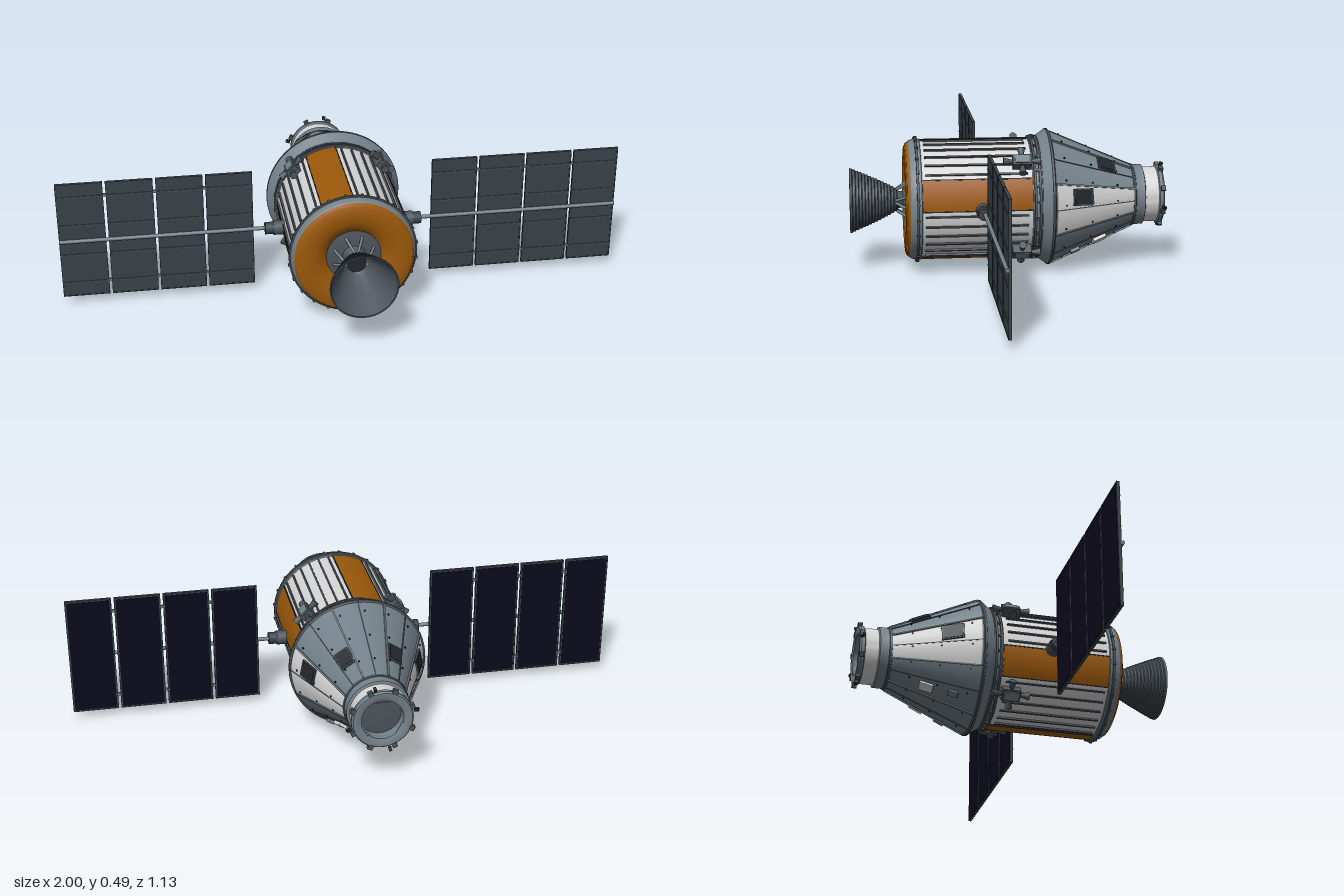
import * as THREE from 'three';
import { toCreasedNormals, mergeGeometries } from 'three/addons/utils/BufferGeometryUtils.js';

const material = (name, color, side = THREE.FrontSide) => {
  const m = new THREE.MeshStandardMaterial({ color, side });
  m.name = name;
  return m;
};
const D = Math.PI / 180;

export function createModel() {
  const grey = material('blue grey hull', 0x74818a);
  const steel = material('dark steel', 0x4c555c);
  const white = material('white radiator', 0xd6d6d6);
  const orange = material('orange insulation', 0x9c590a);
  const dark = material('dark trim', 0x23282d);
  const navy = material('solar cells', 0x0b0a1c);
  const slate = material('panel backing', 0x394148);

  const root = new THREE.Group();
  root.name = 'spacecraft';
  const core = new THREE.Group();
  core.name = 'hull';
  core.position.y = 0.248;
  root.add(core);

  const add = (parent, name, geo, mat, x = 0, y = 0, z = 0) => {
    const m = new THREE.Mesh(geo, mat);
    m.name = name;
    m.position.set(x, y, z);
    parent.add(m);
    return m;
  };
  const box = (x, y, z) => new THREE.BoxGeometry(x, y, z);

  // Turned part along z from [radius, z] points; ascending z faces outward
  const turned = (name, mat, pts, from = 0, to = 360, segs = 64) => {
    const geo = new THREE.LatheGeometry(pts.map(p => new THREE.Vector2(p[0], p[1])),
      segs, (from + 90) * D, (to - from) * D);
    geo.rotateX(Math.PI / 2);
    return add(core, name, toCreasedNormals(geo, 0.5), mat);
  };
  // Part set on the hull: local x is outward, y around, z along the hull
  const radial = (name, geo, mat, deg, r, z, tilt = 0) => {
    const pivot = new THREE.Group();
    pivot.name = name + 'Mount';
    pivot.rotation.z = deg * D;
    core.add(pivot);
    const m = add(pivot, name, geo, mat, r, 0, z);
    m.rotation.y = tilt;
    return m;
  };
  const strut = (parent, name, a, b, r, mat) => {
    const p = new THREE.Vector3(...a), q = new THREE.Vector3(...b);
    const m = add(parent, name, new THREE.CylinderGeometry(r, r, p.distanceTo(q), 8), mat);
    m.position.copy(p).add(q).multiplyScalar(0.5);
    m.quaternion.setFromUnitVectors(new THREE.Vector3(0, 1, 0), q.sub(p).normalize());
  };

  // Service module barrel, its rings and end
  turned('barrel', white, [[0.213, -0.09], [0.213, 0.32]]);
  turned('frontCollar', grey, [[0.21, 0.312], [0.218, 0.315], [0.218, 0.335], [0.211, 0.352], [0.203, 0.358]]);
  turned('frontDome', orange, [[0.208, 0.355], [0.202, 0.364], [0.19, 0.369], [0.165, 0.371],
    [0.135, 0.367], [0.11, 0.357], [0.095, 0.342]]);
  turned('domeCentre', steel, [[0.097, 0.342], [0.06, 0.35], [0, 0.352]]);
  for (const z of [0.328, -0.083, -0.1])
    turned('hoop', steel, [[0.21, z - 0.005], [0.2235, z - 0.004], [0.2235, z + 0.004], [0.21, z + 0.005]]);
  turned('rearCollar', grey, [[0.217, -0.115], [0.217, -0.075], [0.212, -0.074]]);

  // Four insulation panels with ribbed radiators between them
  const rib = box(0.008, 0.006, 0.36);
  for (let q = 0; q < 4; q++) {
    turned('insulationPanel', orange, [[0.212, -0.0745], [0.2165, -0.074], [0.2165, 0.312], [0.212, 0.3125]],
      q * 90, q * 90 + 30, 10);
    for (let i = 0; i < 6; i++) radial('radiatorRib', rib, steel, q * 90 + 35 + i * 10, 0.2155, 0.122);
    for (const e of [0, 30]) radial('panelEdge', box(0.006, 0.004, 0.385), dark, q * 90 + e, 0.2145, 0.119);
  }
  for (let i = 0; i < 24; i++) for (const z of [0.328, -0.09])
    radial('hoopBolt', box(0.008, 0.008, 0.012), steel, i * 15 + 7, 0.223, z);

  // Flared cone with ridges, rivets and white side panels
  const R0 = 0.242, R1 = 0.109, Z0 = -0.147, Z1 = -0.455;
  const coneR = z => R0 + (R1 - R0) * (z - Z0) / (Z1 - Z0);
  const tilt = Math.atan2(R0 - R1, Z0 - Z1);
  turned('cone', grey, [[0.1, -0.495], [0.109, -0.492], [R1, Z1], [R0, Z0], [0.244, -0.14], [0.222, -0.108], [0.205, -0.106]]);
  turned('coneRim', steel, [[0.238, -0.153], [0.2465, -0.149], [0.2465, -0.141], [0.24, -0.138]]);
  turned('coneTopBand', steel, [[0.108, -0.46], [0.112, -0.458], [0.114, -0.45], [0.11, -0.448]]);
  for (const a of [0, 180])
    turned('conePanel', white, [[coneR(-0.45) + 0.0015, -0.45], [coneR(-0.158) + 0.0015, -0.158]], a - 22.5, a + 22.5, 12);
  const zm = (Z0 + Z1) / 2;
  for (let i = 0; i < 16; i++) {
    const a = 22.5 * i, main = i % 2 === 1;
    radial('coneRidge', box(main ? 0.009 : 0.004, main ? 0.006 : 0.003, 0.325), main ? grey : steel, a, coneR(zm) + 0.001, zm, tilt);
    for (const z of [-0.19, -0.29, -0.385])
      radial('rivet', box(0.005, 0.005, 0.005), dark, a + 4, coneR(z) + 0.002, z, tilt);
  }

  // Cone windows and equipment boxes
  for (const a of [11, 169]) {
    radial('sideWindowFrame', box(0.006, 0.06, 0.08), steel, a, coneR(-0.253) + 0.003, -0.253, tilt);
    radial('sideWindow', box(0.006, 0.052, 0.07), dark, a, coneR(-0.253) + 0.005, -0.253, tilt);
  }
  for (const a of [56, 124]) {
    radial('upperWindowFrame', box(0.006, 0.055, 0.07), steel, a, coneR(-0.35) + 0.003, -0.35, tilt);
    radial('upperWindow', box(0.006, 0.047, 0.06), dark, a, coneR(-0.35) + 0.005, -0.35, tilt);
  }
  for (const a of [-55, -125]) {
    radial('lowerSensor', box(0.014, 0.03, 0.05), white, a, coneR(-0.325) + 0.004, -0.325, tilt);
    radial('lowerSensor', box(0.014, 0.02, 0.035), grey, a - 2, coneR(-0.235) + 0.004, -0.235, tilt);
  }

  // Docking tunnel, ring and latches
  turned('dockingTunnel', white, [[0.1, -0.548], [0.1, -0.49]]);
  turned('dockingRing', grey, [[0.072, -0.52], [0.072, -0.56], [0.08, -0.564], [0.101, -0.564], [0.106, -0.558], [0.106, -0.546], [0.098, -0.542]]);
  turned('hatch', steel, [[0, -0.525], [0.073, -0.52]]);
  for (let i = 0; i < 8; i++) {
    radial('dockingLatch', box(0.018, 0.018, 0.016), steel, i * 45 + 22.5, 0.108, -0.557);
    if (i % 2) radial('dockingHook', box(0.016, 0.01, 0.012), dark, i * 45 + 32, 0.118, -0.559, 0.4);
  }
  for (let i = 0; i < 3; i++) radial('guidePetal', box(0.006, 0.045, 0.028), grey, i * 120 + 90, 0.073, -0.55, 0.35);

  // Thruster pods with fore, aft and sideways nozzles
  const cone = new THREE.CylinderGeometry(0.014, 0.006, 0.034, 14);
  for (const a of [45, 135, 225, 315]) {
    const pod = radial('thrusterPod', box(0.034, 0.042, 0.066), steel, a, 0.229, -0.038);
    add(pod, 'podCap', box(0.006, 0.03, 0.05), grey, 0.018);
    for (const s of [1, -1]) {
      add(pod, 'axialNozzle', cone, steel, 0.004, 0, s * 0.049).rotation.x = s * Math.PI / 2;
      add(pod, 'sideNozzle', cone, steel, 0.004, s * 0.034, 0).rotation.x = s > 0 ? 0 : Math.PI;
    }
  }

  // Engine bell with stepped ribs, dark lining and support struts
  const bellR = t => 0.035 + 0.081 * Math.pow(t, 0.85);
  const outer = [], inner = [], steps = 15, b0 = 0.395, bl = 0.17;
  for (let i = 0; i < steps; i++) {
    const t = i / steps, r = bellR((i + 0.5) / steps);
    outer.push([r - 0.003, b0 + t * bl], [r + 0.002, b0 + (t + 0.25 / steps) * bl], [r + 0.002, b0 + (t + 0.75 / steps) * bl]);
    inner.unshift([bellR(t) - 0.003, b0 + t * bl]);
  }
  outer.push([0.117, b0 + bl], [0.112, b0 + bl]);
  inner.unshift([0.113, b0 + bl]);
  turned('engineBell', steel, outer, 0, 360, 48);
  turned('bellLining', steel, inner, 0, 360, 48);
  turned('bellThroat', dark, [[0.036, 0.398], [0, 0.398]], 0, 360, 24);
  turned('engineNeck', steel, [[0.045, 0.345], [0.028, 0.375], [0.034, 0.4]], 0, 360, 32);
  for (let i = 0; i < 8; i++) {
    const a = (i * 45 + 22.5) * D, b = a + (i % 2 ? 0.3 : -0.3);
    strut(core, 'engineStrut', [0.075 * Math.cos(a), 0.075 * Math.sin(a), 0.345],
      [0.036 * Math.cos(b), 0.036 * Math.sin(b), 0.402], 0.005, grey);
  }

  // Solar wings: hinge, boom and four framed panels on each side
  const zp = 0.092, yc = 0.002, H = 0.44, W = 0.163;
  for (const s of [1, -1]) {
    const wing = new THREE.Group();
    wing.name = s > 0 ? 'leftSolarWing' : 'rightSolarWing';
    core.add(wing);
    const drum = (name, r, x0, x1, mat, z) =>
      add(wing, name, new THREE.CylinderGeometry(r, r, x1 - x0, 20), mat, s * (x0 + x1) / 2, yc, z).rotation.z = Math.PI / 2;
    drum('wingHinge', 0.026, 0.205, 0.25, steel, 0.103);
    drum('wingMotor', 0.022, 0.245, 0.28, slate, 0.103);
    drum('wingBoom', 0.007, 0.27, 1, grey, 0.101);
    for (let i = 0; i < 4; i++) {
      const x = s * (0.32 + W / 2 + i * (0.68 - W) / 3);
      add(wing, 'panelBacking', box(W, H, 0.008), slate, x, yc, zp);
      add(wing, 'solarCells', box(W - 0.012, H - 0.014, 0.002), navy, x, yc, zp - 0.0045);
      const bars = [];
      for (const e of [-1, 1]) {
        bars.push(box(0.004, H, 0.011).translate(e * (W / 2 - 0.002), 0, 0));
        bars.push(box(W, 0.004, 0.011).translate(0, e * (H / 2 - 0.002), 0));
      }
      add(wing, 'panelFrame', mergeGeometries(bars), slate, x, yc, zp);
      for (const y of [0.17, 0.06, -0.055, -0.165])
        add(wing, 'panelRail', box(W, 0.004, 0.004), steel, x, yc + y, zp + 0.005);
      if (i < 3) for (const y of [0.17, -0.165])
        add(wing, 'panelHinge', box(0.02, 0.01, 0.008), grey, x + s * (W / 2 + 0.0045), yc + y, zp);
    }
  }
  return root;
}
